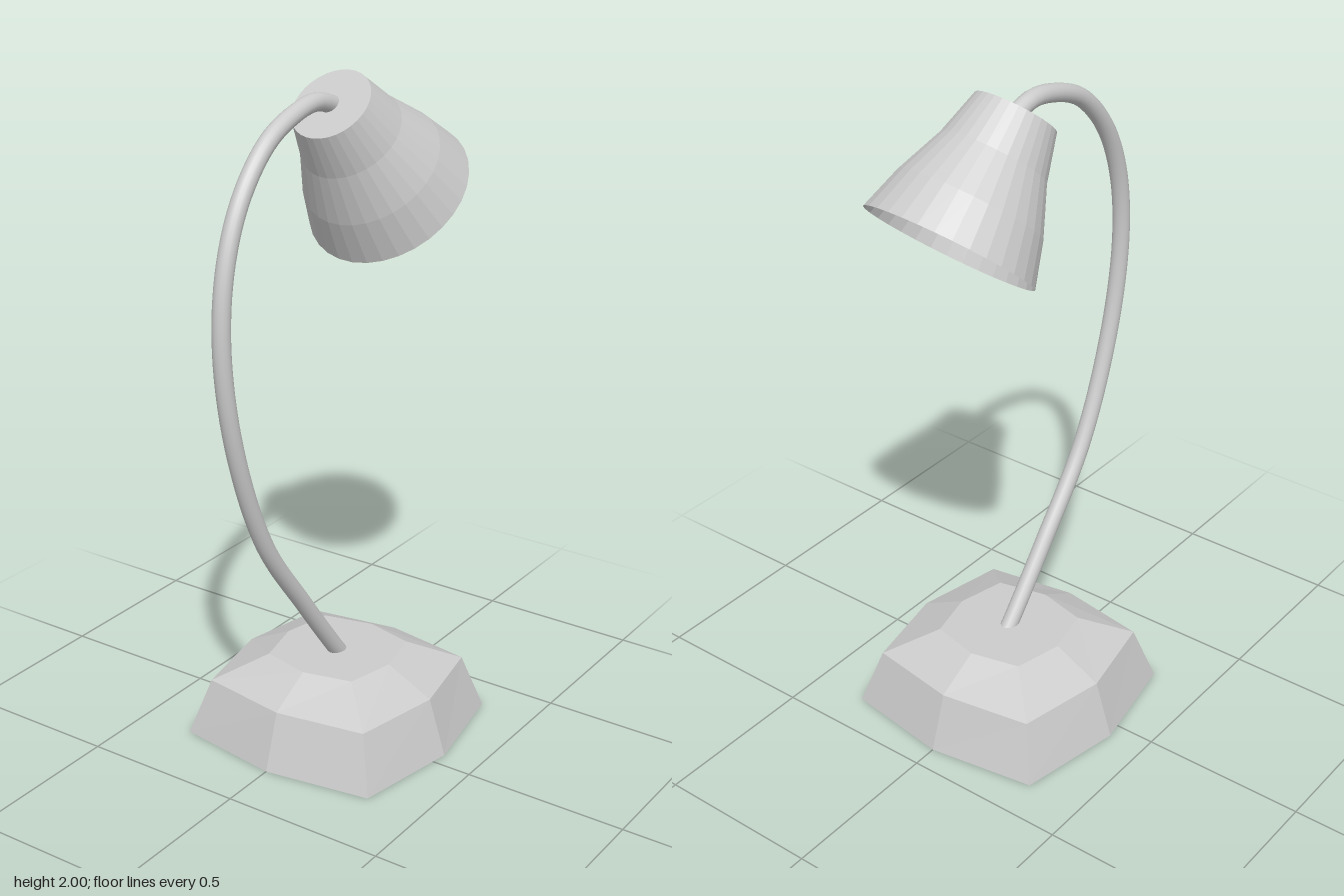
import * as THREE from 'three';

const grey = (options = {}) => new THREE.MeshStandardMaterial({ color: 0xcccccc, ...options });

function part(name, geometry, material) {
  const mesh = new THREE.Mesh(geometry, material);
  mesh.name = name;
  return mesh;
}

// Eight-sided ring: side points reach further out than a circle's, corners are square
function baseRing(y, sideX, sideZ, corner) {
  const ring = [];
  for (let i = 0; i < 8; i++) {
    const a = (i * Math.PI) / 4;
    const sx = Math.round(Math.sin(a)), sz = Math.round(Math.cos(a));
    ring.push(i % 2 ? [sx * corner, y, sz * corner] : [sx * sideX, y, sz * sideZ]);
  }
  return ring;
}

// Faceted foot made from three stacked rings, closed above and below
function baseGeometry() {
  const rings = [
    baseRing(0, 0.385, 0.375, 0.325),
    baseRing(0.172, 0.33, 0.32, 0.275),
    baseRing(0.245, 0.185, 0.185, 0.15),
  ];
  const pos = [];
  const tri = (a, b, c) => pos.push(...a, ...b, ...c);
  for (let i = 0; i < 8; i++) {
    const j = (i + 1) % 8;
    for (let k = 0; k < 2; k++) {
      const lo = rings[k], hi = rings[k + 1];
      tri(lo[i], lo[j], hi[j]);
      tri(lo[i], hi[j], hi[i]);
    }
    tri([0, 0.245, 0], rings[2][i], rings[2][j]);
    tri([0, 0, 0], rings[0][j], rings[0][i]);
  }
  const geometry = new THREE.BufferGeometry();
  geometry.setAttribute('position', new THREE.Float32BufferAttribute(pos, 3));
  geometry.computeVertexNormals();
  return geometry;
}

export function createModel() {
  const lamp = new THREE.Group();
  lamp.name = 'deskLamp';

  // Base
  const base = part('base', baseGeometry(), grey({ flatShading: true }));
  base.position.z = -0.05;
  lamp.add(base);

  // Curved arm, leaning slightly to one side as it rises
  const path = new THREE.CatmullRomCurve3([
    [0.003, 0.2, -0.08], [0, 0.25, -0.04], [-0.006, 0.465, 0.12], [-0.011, 0.73, 0.305],
    [-0.015, 1.07, 0.43], [-0.02, 1.365, 0.468], [-0.023, 1.58, 0.44], [-0.025, 1.745, 0.365],
    [-0.025, 1.87, 0.245], [-0.025, 1.925, 0.11], [-0.025, 1.935, 0.02], [-0.024, 1.908, -0.07],
  ].map((p) => new THREE.Vector3(...p)), false, 'centripetal');
  const radius = 0.026;
  lamp.add(part('arm', new THREE.TubeGeometry(path, 72, radius, 16), grey()));
  const tip = part('armTip', new THREE.SphereGeometry(radius, 16, 10), grey());
  tip.position.copy(path.getPoint(1));
  lamp.add(tip);

  // Flared shade with a closed top and an open mouth
  const top = new THREE.Vector3(-0.022, 1.918, -0.042);
  const mouth = new THREE.Vector3(0, 1.617, -0.3);
  const axis = mouth.clone().sub(top);
  const length = axis.length();
  const profile = [[0, 0], [0.12, 0], [0.155, 0.33], [0.212, 0.68], [0.25, 1]]
    .map(([r, t]) => new THREE.Vector2(r, -t * length));
  const shade = part('shade', new THREE.LatheGeometry(profile, 32),
    grey({ flatShading: true, side: THREE.DoubleSide }));
  shade.position.copy(top);
  shade.quaternion.setFromUnitVectors(new THREE.Vector3(0, -1, 0), axis.normalize());
  lamp.add(shade);

  return lamp;
}
